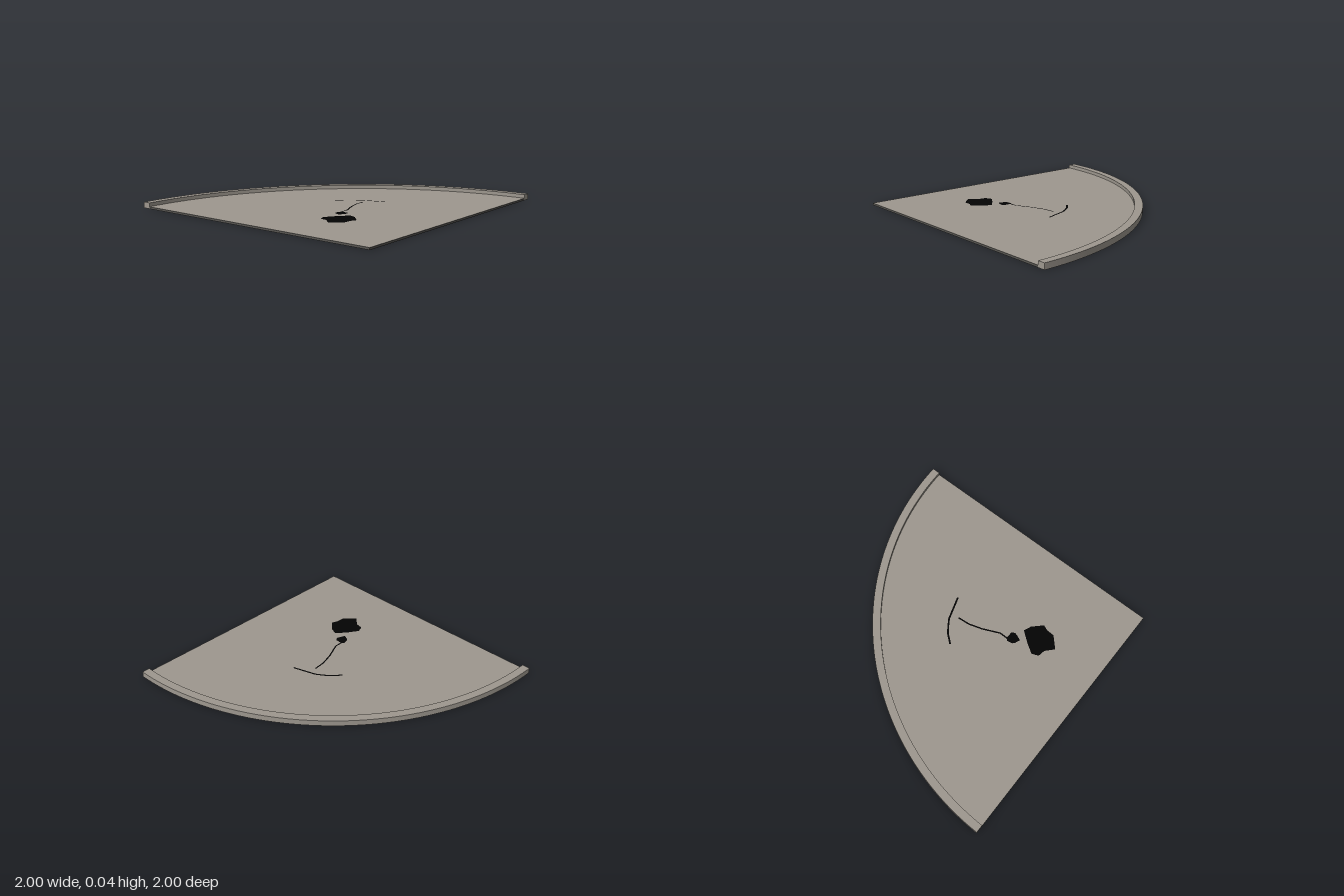
import * as THREE from 'three';

const stone = new THREE.MeshStandardMaterial({ color: 0x9e988f });
stone.name = 'warm grey';
const base = new THREE.MeshStandardMaterial({ color: 0x565450 });
base.name = 'dark grey';
const ink = new THREE.MeshStandardMaterial({ color: 0x030303 });
ink.name = 'black';

const RADIUS = 2, INNER = 1.94, FLOOR = 0.015, RIM = 0.043, SEGMENTS = 48;

// Shapes are drawn in plan with y = -z, then laid flat
const plan = ([x, z]) => new THREE.Vector2(x, -z);

function addFlat(group, name, shape, material, y, height = 0) {
  const geometry = height
    ? new THREE.ExtrudeGeometry(shape, { depth: height, bevelEnabled: false, curveSegments: SEGMENTS })
    : new THREE.ShapeGeometry(shape, SEGMENTS);
  geometry.rotateX(-Math.PI / 2);
  const mesh = new THREE.Mesh(geometry, material);
  mesh.name = name;
  mesh.position.y = y;
  group.add(mesh);
}

// Quarter disc with its square corner at the front right
function sector(radius) {
  const s = new THREE.Shape();
  s.moveTo(-1, -1);
  s.lineTo(radius - 1, -1);
  s.absarc(-1, -1, radius, 0, Math.PI / 2, false);
  s.lineTo(-1, -1);
  return s;
}

// Ribbon of constant width along a polyline
function ribbon(points, width) {
  const p = points.map(plan), left = [], right = [];
  p.forEach((q, i) => {
    const d = p[Math.min(i + 1, p.length - 1)].clone().sub(p[Math.max(i - 1, 0)]).normalize();
    const n = new THREE.Vector2(-d.y, d.x).multiplyScalar(width / 2);
    left.push(q.clone().add(n));
    right.unshift(q.clone().sub(n));
  });
  return new THREE.Shape([...left, ...right]);
}

export function createModel() {
  const group = new THREE.Group();
  group.name = 'quarterPlatform';

  // Dark slab with a lighter walking surface
  addFlat(group, 'slab', sector(INNER), base, 0, FLOOR);
  addFlat(group, 'floor', sector(INNER), stone, FLOOR + 0.001);

  // Raised curved rim
  const rim = new THREE.Shape();
  rim.absarc(-1, -1, RADIUS, 0, Math.PI / 2, false);
  rim.absarc(-1, -1, INNER, Math.PI / 2, 0, true);
  rim.closePath();
  addFlat(group, 'rim', rim, stone, 0, RIM);

  // Painted marks on the floor
  const markY = FLOOR + 0.003;
  const largeSpot = [[-0.57, 0.28], [-0.52, 0.26], [-0.45, 0.305], [-0.368, 0.37], [-0.39, 0.425],
    [-0.46, 0.495], [-0.5, 0.478], [-0.56, 0.475], [-0.635, 0.395], [-0.58, 0.335]];
  const smallSpot = [[-0.36, 0.235], [-0.32, 0.228], [-0.303, 0.25], [-0.306, 0.3],
    [-0.33, 0.315], [-0.36, 0.305], [-0.392, 0.29], [-0.375, 0.25]];
  const trail = [[-0.31, 0.245], [-0.245, 0.245], [-0.12, 0.188], [-0.02, 0.157], [0.07, 0.149]];
  const arc = [[-0.01, -0.05], [0.05, 0], [0.085, 0.045], [0.12, 0.1], [0.174, 0.272]];
  addFlat(group, 'largeSpot', new THREE.Shape(largeSpot.map(plan)), ink, markY);
  addFlat(group, 'smallSpot', new THREE.Shape(smallSpot.map(plan)), ink, markY);
  addFlat(group, 'trail', ribbon(trail, 0.011), ink, markY);
  addFlat(group, 'arcMark', ribbon(arc, 0.013), ink, markY);

  return group;
}
